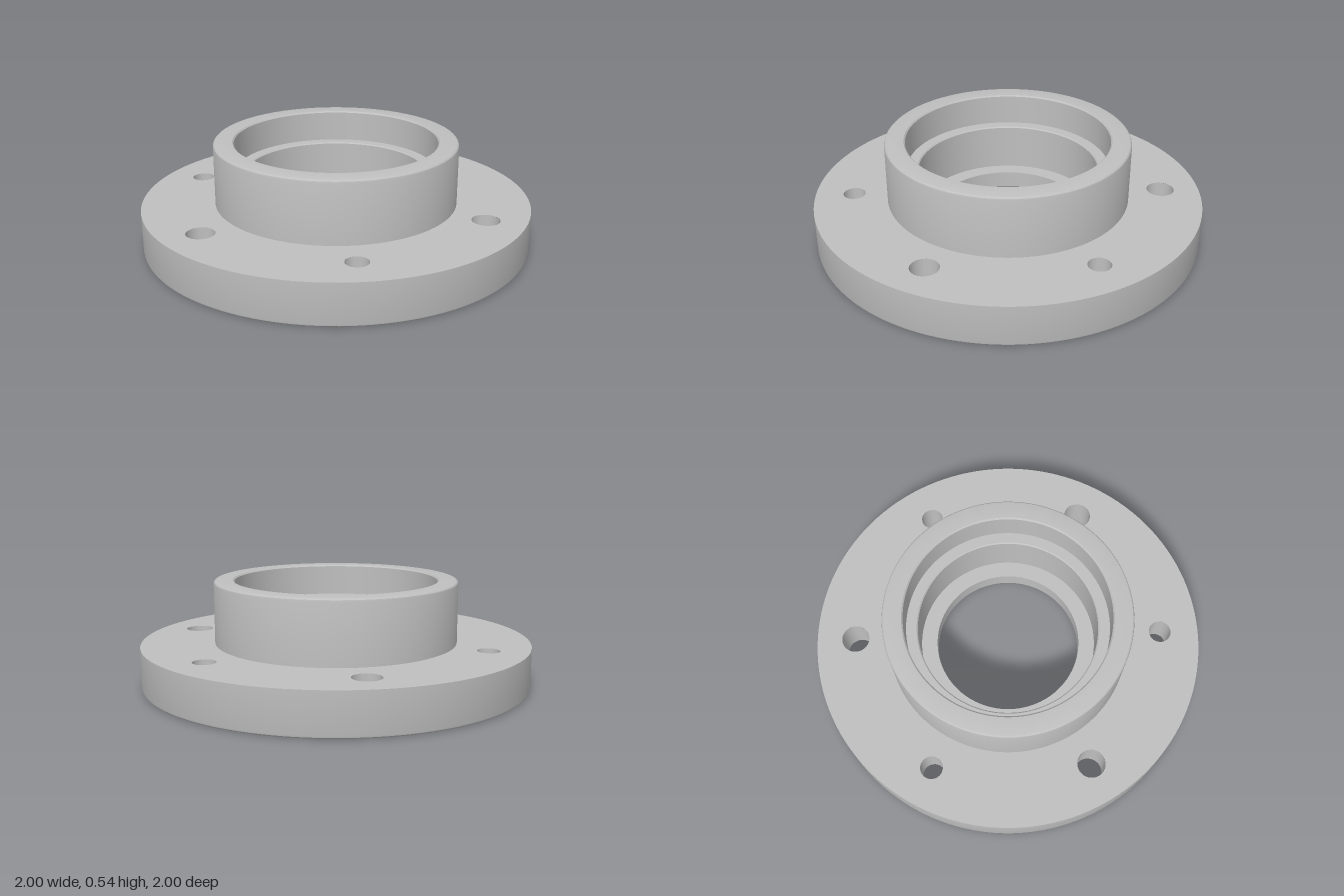
import * as THREE from 'three';
import { toCreasedNormals } from 'three/addons/utils/BufferGeometryUtils.js';

const SEGMENTS = 128;
const FLANGE_TOP = 0.215, HUB_TOP = 0.535, HUB_R = 0.625, EDGE = 0.016;

// Six bolt positions: wide clearance holes alternate with narrow countersunk ones
const HOLES = Array.from({ length: 6 }, (_, i) => {
  const a = (i * Math.PI) / 3;
  const wide = i % 2 === 0;
  return {
    x: 0.8 * Math.sin(a), z: -0.8 * Math.cos(a), wide,
    top: wide ? 0.071 : 0.057,
    bottom: wide ? 0.071 : 0.078,
  };
});

// Revolve a profile, keeping its corners crisp and its roundness smooth
function turn(points, segments = SEGMENTS) {
  const profile = points.map(([r, y]) => new THREE.Vector2(r, y));
  return toCreasedNormals(new THREE.LatheGeometry(profile, segments), 0.3);
}

// Quarter-round edge about (r, y), from angle a0 to a1 in degrees
function fillet(r, y, a0, a1) {
  return [0, 1, 2, 3].map((i) => {
    const a = THREE.MathUtils.degToRad(a0 + ((a1 - a0) * i) / 3);
    return [r + EDGE * Math.cos(a), y + EDGE * Math.sin(a)];
  });
}

// Flat drilled ring, facing up or down
function drilledRing(inner, outer, y, up) {
  const shape = new THREE.Shape().absarc(0, 0, outer, 0, Math.PI * 2, false);
  const cut = (x, v, r) =>
    shape.holes.push(new THREE.Path().absarc(x, v, r, 0, Math.PI * 2, true));
  cut(0, 0, inner);
  for (const h of HOLES) cut(h.x, up ? -h.z : h.z, up ? h.top : h.bottom);
  const geometry = new THREE.ShapeGeometry(shape, SEGMENTS / 2);
  geometry.rotateX(up ? -Math.PI / 2 : Math.PI / 2);
  return geometry.translate(0, y, 0);
}

export function createModel() {
  const model = new THREE.Group();
  model.name = 'boltedFlange';
  const steel = new THREE.MeshStandardMaterial({ color: 0xbfbfbf });
  steel.name = 'greySteel';

  const add = (name, geometry, x = 0, z = 0) => {
    const mesh = new THREE.Mesh(geometry, steel);
    mesh.name = name;
    mesh.position.set(x, 0, z);
    model.add(mesh);
  };

  // Flange plate with rounded lower edge
  add('flangeRim', turn([...fillet(1 - EDGE, EDGE, -90, 0), [1, FLANGE_TOP]]));
  add('flangeTopFace', drilledRing(HUB_R, 1, FLANGE_TOP, true));
  add('flangeBottomFace', drilledRing(HUB_R, 1 - EDGE, 0, false));

  // Raised hub, from its outer wall over the rim to the bearing seat
  add('hub', turn([
    [HUB_R, FLANGE_TOP],
    ...fillet(HUB_R - EDGE, HUB_TOP - EDGE, 0, 90),
    [0.527, HUB_TOP], [0.52, HUB_TOP - 0.007], [0.52, 0.37],
  ]));

  // Stepped bore
  add('steppedBore', turn([
    [0.52, 0.37], [0.466, 0.37], [0.46, 0.364], [0.46, 0.125],
    [0.377, 0.125], [0.377, 0.035],
  ]));

  // Shallow recess underneath
  add('bottomRecess', turn([[0.377, 0.035], [HUB_R, 0.035], [HUB_R, 0]]));

  // Walls of the bolt holes
  for (const h of HOLES) {
    const profile = h.wide
      ? [[h.top, FLANGE_TOP], [h.top, 0]]
      : [[h.top, FLANGE_TOP], [h.top, 0.022], [h.bottom, 0]];
    add(h.wide ? 'clearanceHole' : 'countersunkHole', turn(profile, 48), h.x, h.z);
  }

  return model;
}
